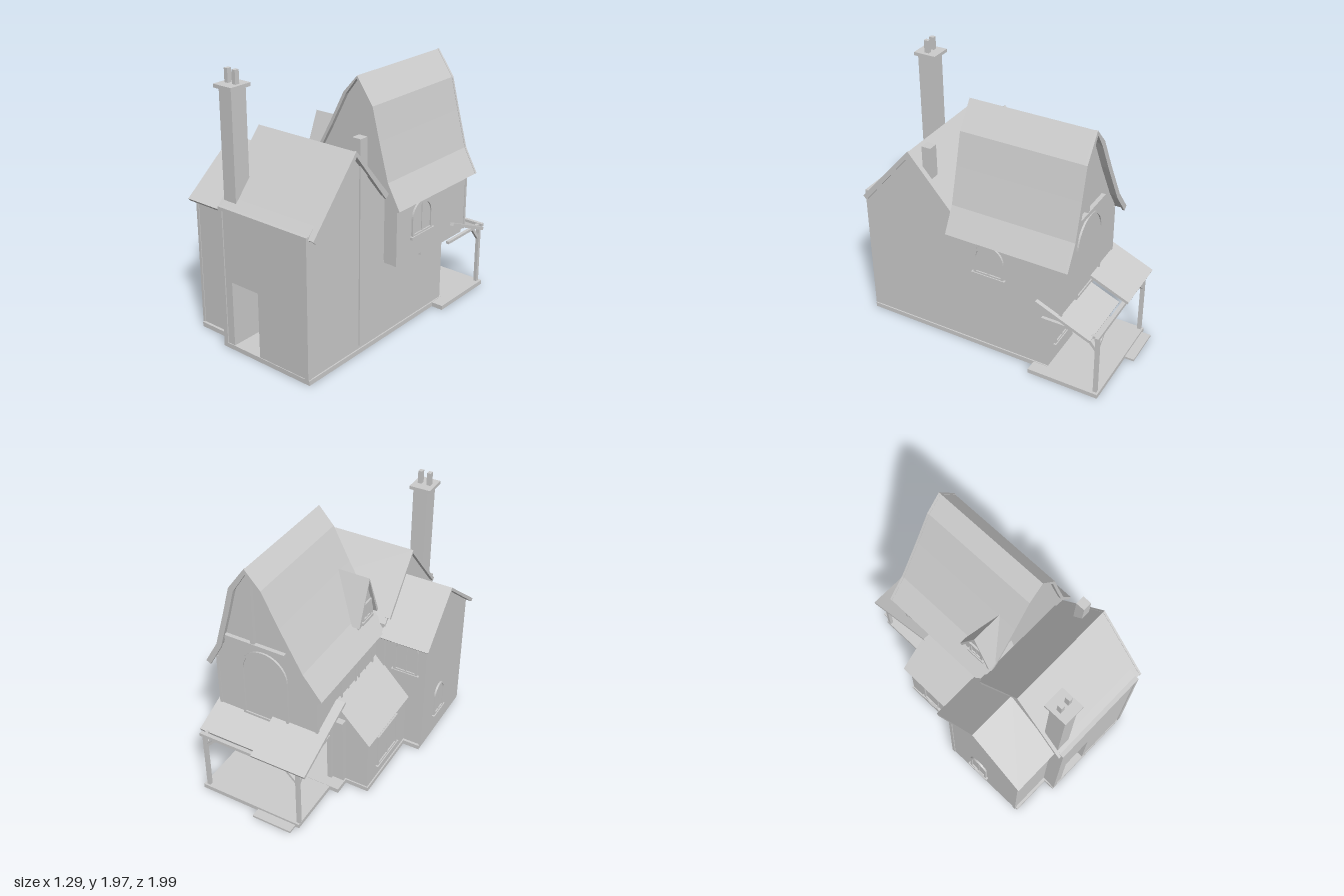
import * as THREE from 'three';

const mat = new THREE.MeshStandardMaterial({ color: 0xcccccc, side: THREE.DoubleSide });

export function createModel() {
  const house = new THREE.Group();

  const add = (name, geo, parent = house) => {
    const m = new THREE.Mesh(geo, mat);
    m.name = name;
    parent.add(m);
    return m;
  };
  // Box given by its limits on each axis
  const box = (name, x0, x1, y0, y1, z0, z1, parent) => add(name,
    new THREE.BoxGeometry(x1 - x0, y1 - y0, z1 - z0)
      .translate((x0 + x1) / 2, (y0 + y1) / 2, (z0 + z1) / 2), parent);
  const poly = pts => new THREE.Shape(pts.map(p => new THREE.Vector2(p[0], p[1])));
  // Outline [x, y] swept from z0 to z1
  const alongZ = (name, shape, z0, z1, parent) => add(name,
    new THREE.ExtrudeGeometry(shape, { depth: z1 - z0, bevelEnabled: false, curveSegments: 10 })
      .translate(0, 0, z0), parent);
  // Outline [z, y] swept from x0 to x1
  const alongX = (name, shape, x0, x1) => add(name,
    new THREE.ExtrudeGeometry(shape, { depth: x1 - x0, bevelEnabled: false })
      .rotateY(-Math.PI / 2).translate(x1, 0, 0));
  // Polyline moved sideways along its averaged normals
  const offset = (pts, t) => pts.map((p, i) => {
    const a = pts[Math.max(i - 1, 0)], b = pts[Math.min(i + 1, pts.length - 1)];
    const dx = b[0] - a[0], dy = b[1] - a[1], l = Math.hypot(dx, dy);
    return [p[0] + dy / l * t, p[1] - dx / l * t];
  });
  // Roof section: the top line (listed left to right) with thickness t
  const band = (pts, t) => poly([...pts, ...offset(pts, t).reverse()]);
  const arch = (w, h, y0 = 0, arched = true, C = THREE.Shape) => {
    const s = new C(), r = w / 2;
    s.moveTo(-r, y0);
    s.lineTo(r, y0);
    if (arched) {
      s.lineTo(r, h - r);
      s.absarc(0, h - r, r, 0, Math.PI, false);
    } else {
      s.lineTo(r, h);
      s.lineTo(-r, h);
    }
    s.lineTo(-r, y0);
    return s;
  };
  // Framed opening on a wall, turned about y to face outward
  const opening = (name, w, h, x, y, z, ry, arched, sill = true) => {
    const g = new THREE.Group(), t = 0.018;
    g.name = name;
    const frame = arch(w, h, 0, arched);
    frame.holes.push(arch(w - 2 * t, h - t, t, arched, THREE.Path));
    alongZ(name + 'Frame', frame, -0.01, 0.014, g);
    alongZ(name + 'Pane', arch(w - 2 * t, h - t, t, arched), -0.01, 0.004, g);
    if (sill) {
      box(name + 'Mullion', -0.006, 0.006, t, h - t, 0, 0.01, g);
      box(name + 'Sill', -w / 2 - 0.015, w / 2 + 0.015, -0.015, 0.006, -0.01, 0.022, g);
    }
    g.position.set(x, y, z);
    g.rotation.y = ry;
    house.add(g);
  };
  const BACK = Math.PI, RIGHT = Math.PI / 2, LEFT = -Math.PI / 2;

  // Ground plates and step
  box('mainBase', -0.29, 0.5, 0, 0.035, -0.5, 0.985);
  box('wingBase', -0.6, -0.28, 0, 0.035, 0.2, 0.9);
  box('leanToBase', -0.47, -0.2, 0, 0.034, -0.38, 0.21);
  box('porchFloor', -0.22, 0.59, 0, 0.033, -0.93, -0.39);
  box('porchStep', -0.19, 0.12, 0, 0.016, -1, -0.9);

  // Front block with an open passage through it
  const gable = y0 => poly([[0.98, y0], [0.98, 1.03], [0.56, 1.475], [0.2, 1.07], [0.2, y0]]);
  alongX('frontBlockLeft', gable(0.02), -0.28, -0.19);
  alongX('frontBlockOverPassage', gable(0.52), -0.19, 0.05);
  alongX('frontBlockRight', gable(0.02), 0.05, 0.49);
  alongX('frontRoof', band([[0.22, 1.115], [0.56, 1.505], [0.97, 1.035]], 0.025), -0.305, 0.53);
  alongX('frontBargeboard', band([[0.22, 1.115], [0.56, 1.51], [0.975, 1.035]], 0.04), 0.525, 0.54);
  for (const [x0, x1] of [[-0.285, -0.25], [0.465, 0.493]])
    box('cornerPost', x0, x1, 0.03, 1.05, 0.955, 0.988);
  box('wallTopBeam', -0.285, 0.492, 1.03, 1.055, 0.95, 0.988);

  // Rear ground floor
  box('rearGroundRight', 0.1, 0.49, 0.02, 0.56, -0.5, 0.21);
  box('rearGroundLeft', -0.28, -0.19, 0.02, 0.56, -0.4, 0.21);
  box('passageCeiling', -0.28, 0.49, 0.52, 0.6, -0.42, 0.21);
  const doorWall = poly([[-0.19, 0.03], [0.1, 0.03], [0.1, 0.55], [-0.19, 0.55]]);
  const doorHole = new THREE.Path();
  doorHole.moveTo(-0.155, 0.031);
  doorHole.lineTo(0.09, 0.031);
  doorHole.lineTo(0.09, 0.37);
  doorHole.absarc(-0.0325, 0.37, 0.1225, 0, Math.PI, false);
  doorHole.lineTo(-0.155, 0.031);
  doorWall.holes.push(doorHole);
  alongZ('archedDoorway', doorWall, -0.42, -0.385);
  for (let i = 0; i < 8; i++)
    box('stair', 0.052, 0.1, 0.03, 0.08 + i * 0.05, -0.25 + i * 0.05, -0.2 + i * 0.05);
  opening('porchWindow', 0.2, 0.27, 0.3, 0.17, -0.5, BACK, false);

  // Chimneys
  box('chimneyStack', -0.28, -0.17, 1.0, 1.86, 0.8, 0.93);
  box('chimneyCap', -0.31, -0.15, 1.85, 1.875, 0.775, 0.95);
  for (const x of [-0.278, -0.21]) box('chimneyPot', x, x + 0.03, 1.87, 1.97, 0.845, 0.88);
  box('sideFlue', 0.43, 0.5, 0.06, 1.555, 0.4, 0.47);

  // Side wing
  alongX('wingBody', poly([[0.22, 0.02], [0.22, 1.0], [0.49, 1.31], [0.88, 1.0], [0.88, 0.02]]), -0.605, -0.27);
  alongX('wingRoof', band([[0.14, 0.99], [0.49, 1.34], [0.92, 0.99]], 0.025), -0.65, -0.27);
  opening('wingSideWindow', 0.16, 0.27, -0.605, 0.18, 0.5, LEFT, true);
  opening('wingBackWindow', 0.19, 0.3, -0.45, 0.69, 0.22, BACK, true);
  for (const z of [0.22, 0.865]) box('wingCornerPost', -0.612, -0.59, 0.03, 1, z - 0.006, z + 0.02);

  // Lean-to
  alongZ('leanToBody', poly([[-0.46, 0.02], [-0.46, 0.48], [-0.2, 0.74], [-0.2, 0.02]]), -0.37, 0.22);
  alongZ('leanToRoof', band([[-0.49, 0.475], [-0.2, 0.78]], 0.02), -0.41, 0.21);
  opening('leanToWindow', 0.3, 0.28, -0.46, 0.13, -0.08, LEFT, false);

  // Overhanging upper storey and its curved roof
  const ridge = [[-0.28, 1.01], [-0.14, 1.19], [0.03, 1.5], [0.155, 1.745], [0.27, 1.875],
    [0.4, 1.69], [0.46, 1.46], [0.535, 1.19], [0.635, 1.01]];
  const inner = offset(ridge, 0.02);
  alongZ('upperStorey', poly([[-0.21, 0.585], [-0.21, 1.05], ...inner.slice(1, -1),
    [0.59, 1.05], [0.59, 0.585]]), -0.64, 0.195);
  alongZ('upperRoof', band(ridge, 0.022), -0.69, 0.225);
  alongZ('upperBargeboard', band(offset(ridge, -0.003), 0.04), -0.702, -0.685);
  box('jettyBeam', -0.17, 0.57, 0.55, 0.59, -0.63, -0.12);
  for (const [x, z] of [[0.575, -0.645], [-0.215, -0.645], [0.575, 0.178]])
    box('upperCornerPost', x, x + 0.02, 0.585, 1.03, z, z + 0.02);
  box('gableTieBeam', 0.02, 0.5, 1.235, 1.265, -0.67, -0.63);
  box('gableKingPost', 0.255, 0.285, 1.25, 1.84, -0.665, -0.63);
  opening('gableArch', 0.37, 0.59, 0.2, 0.61, -0.64, BACK, true, false);
  opening('upperRightWindow', 0.23, 0.25, 0.59, 0.745, -0.09, RIGHT, true);
  for (const z of [-0.22, 0.03])
    opening('upperLeftWindow', 0.22, 0.24, -0.21, 0.72, z, LEFT, false);

  // Dormer
  alongX('dormerBody', poly([[-0.03, 1.05], [-0.03, 1.2], [0.08, 1.47], [0.19, 1.2], [0.19, 1.05]]), -0.185, 0.02);
  alongX('dormerRoof', band([[-0.06, 1.17], [0.08, 1.51], [0.22, 1.17]], 0.02), -0.21, 0.035);
  opening('dormerWindow', 0.12, 0.14, -0.185, 1.17, 0.08, LEFT, false);

  // Back porch
  alongX('porchRoofRight', band([[-0.87, 0.515], [-0.46, 0.69]], 0.022), 0.15, 0.62);
  alongX('porchRoofLeft', band([[-0.94, 0.535], [-0.38, 0.775]], 0.022), -0.28, 0.15);
  box('porchBeam', -0.22, 0.59, 0.5, 0.525, -0.918, -0.89);
  for (const [x, s] of [[0.557, -1], [-0.205, 1]]) {
    box('porchPost', x - 0.013, x + 0.013, 0.03, 0.52, -0.915, -0.888);
    alongX('porchBrace', band([[-0.9, 0.41], [-0.79, 0.545]], 0.022), x - 0.01, x + 0.01);
    const sweep = [[x, 0.42], [x + s * 0.09, 0.51]];
    alongZ('porchCrossBrace', band(s > 0 ? sweep : sweep.reverse(), 0.018), -0.91, -0.892);
    box('porchSideBeam', x - 0.012, x + 0.012, 0.5, 0.52, -0.9, -0.48);
  }
  return house;
}
